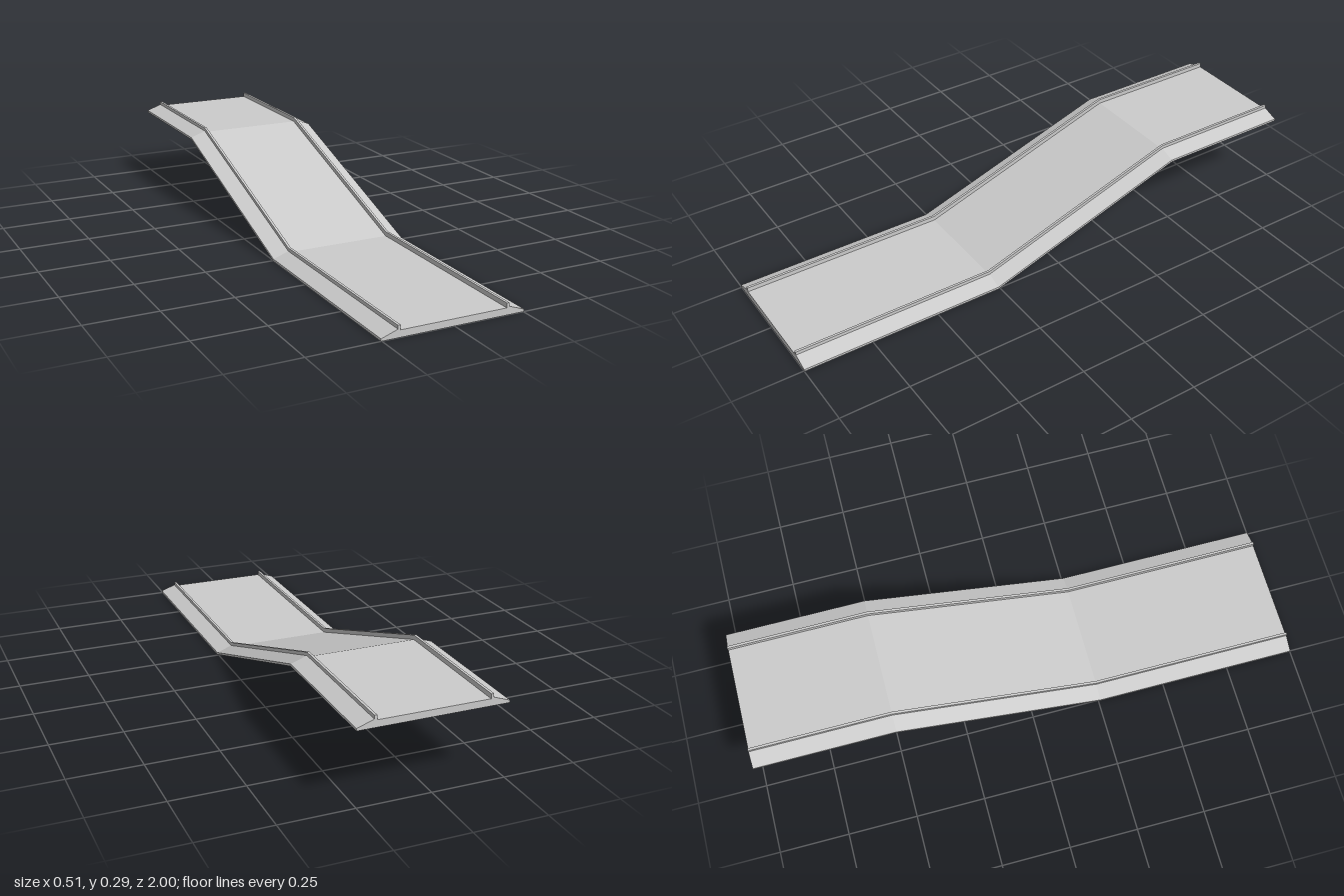
import * as THREE from 'three';

// Stations along the ramp from back to front: [z, lift]
const stations = [[-1, 0.252], [-0.495, 0.252], [0.257, 0], [1, 0]];

// Sweep a cross-section (x, y) through the stations, keeping the ends vertical
function sweep(points) {
  const shape = new THREE.Shape(points.map(([x, y]) => new THREE.Vector2(x, y)));
  const spans = stations.length - 1;
  const geometry = new THREE.ExtrudeGeometry(shape, { depth: spans, steps: spans, bevelEnabled: false });
  const pos = geometry.attributes.position;
  for (let i = 0; i < pos.count; i++) {
    const [z, lift] = stations[Math.round(pos.getZ(i))];
    pos.setY(i, pos.getY(i) + lift);
    pos.setZ(i, z);
  }
  geometry.computeVertexNormals();
  return geometry;
}

export function createModel() {
  const group = new THREE.Group();
  group.name = 'rampWalkway';
  const material = new THREE.MeshStandardMaterial({ color: 0xcccccc, flatShading: true });
  const add = (name, points) => {
    const mesh = new THREE.Mesh(sweep(points), material);
    mesh.name = name;
    group.add(mesh);
  };

  // Deck: flat centre with sloping shoulders and thin outer edges
  add('deck', [
    [-0.253, 0], [0.253, 0], [0.253, 0.008], [0.196, 0.028], [0.188, 0.028], [0.188, 0.024],
    [-0.188, 0.024], [-0.188, 0.028], [-0.196, 0.028], [-0.253, 0.008],
  ]);

  // Narrow kerb rails along both sides of the deck
  for (const [name, x] of [['leftRail', 0.192], ['rightRail', -0.192]]) {
    const h = 0.0045;
    add(name, [[x - h, 0.02], [x + h, 0.02], [x + h, 0.04], [x - h, 0.04]]);
  }
  return group;
}
